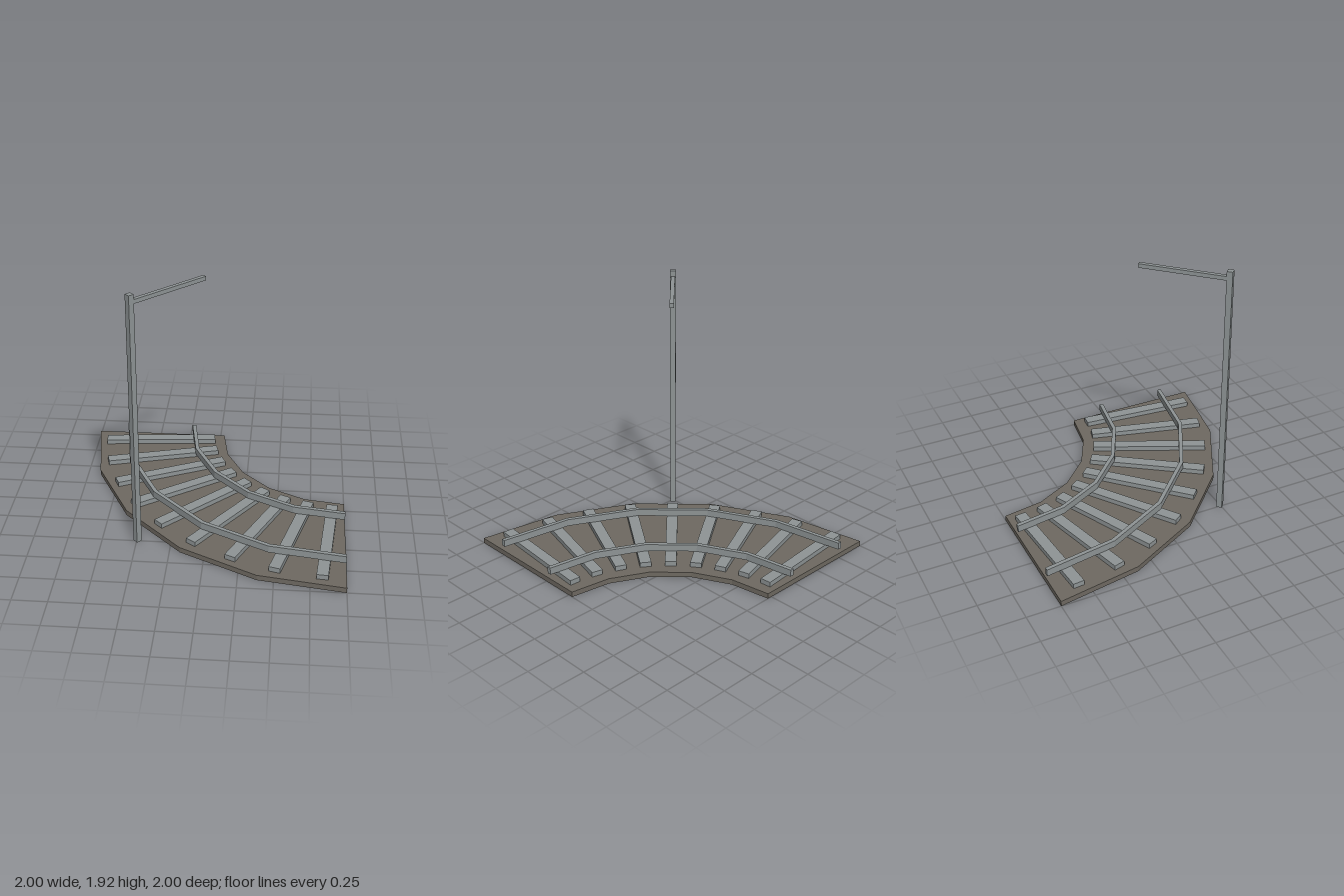
import * as THREE from 'three';

// The curve turns about this corner, in five straight segments over a quarter turn
const CX = 1, CZ = -1, SEGMENTS = 5;

const bedMaterial = new THREE.MeshStandardMaterial({ color: 0x6e6961 });
bedMaterial.name = 'brown gravel';
const metalMaterial = new THREE.MeshStandardMaterial({ color: 0x8e9495 });
metalMaterial.name = 'grey metal';

// Faceted quarter ring between two radii, from height y0 to y1
function arcSlab(name, inner, outer, y0, y1, material) {
  const points = [];
  const add = (r, i) => {
    const a = (i / SEGMENTS) * Math.PI / 2;
    points.push(new THREE.Vector2(CX - r * Math.cos(a), CZ + r * Math.sin(a)));
  };
  for (let i = 0; i <= SEGMENTS; i++) add(outer, i);
  for (let i = SEGMENTS; i >= 0; i--) add(inner, i);
  const geometry = new THREE.ExtrudeGeometry(new THREE.Shape(points), { depth: y1 - y0, bevelEnabled: false });
  geometry.rotateX(Math.PI / 2).translate(0, y1, 0);
  const mesh = new THREE.Mesh(geometry, material);
  mesh.name = name;
  return mesh;
}

// Box lying along a radius of the curve at the given angle
function radialBox(name, degrees, r0, r1, y0, y1, width) {
  const a = THREE.MathUtils.degToRad(degrees), r = (r0 + r1) / 2;
  const mesh = new THREE.Mesh(new THREE.BoxGeometry(r1 - r0, y1 - y0, width), metalMaterial);
  mesh.position.set(CX - r * Math.cos(a), (y0 + y1) / 2, CZ + r * Math.sin(a));
  mesh.rotation.y = a;
  mesh.name = name;
  return mesh;
}

export function createModel() {
  const model = new THREE.Group();
  model.name = 'curvedTrack';

  // Track bed
  model.add(arcSlab('trackBed', 0.965, 2, 0, 0.04, bedMaterial));

  // Sleepers, every ten degrees
  const sleepers = new THREE.Group();
  sleepers.name = 'sleepers';
  for (let i = 0; i < 9; i++) sleepers.add(radialBox('sleeper', 5 + i * 10, 1.04, 1.922, 0.04, 0.077, 0.083));
  model.add(sleepers);

  // Two rails
  for (const [name, r] of [['innerRail', 1.215], ['outerRail', 1.75]]) {
    model.add(arcSlab(name, r - 0.015, r + 0.015, 0.077, 0.13, metalMaterial));
  }

  // Mast with an arm reaching over the track
  model.add(radialBox('mast', 45, 2.091, 2.133, 0, 1.925, 0.042));
  model.add(radialBox('mastArm', 45, 1.471, 2.091, 1.855, 1.885, 0.03));

  return model;
}
